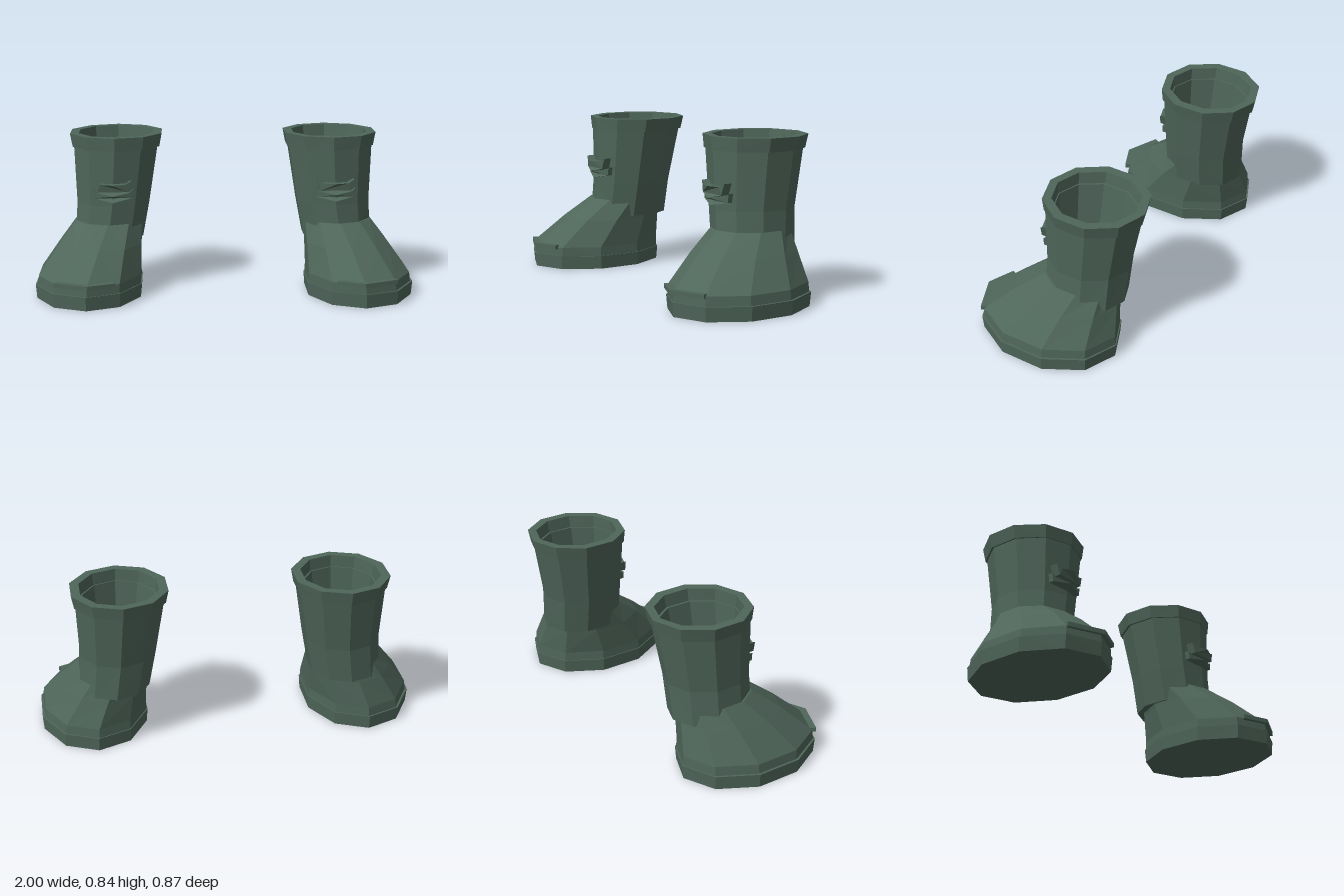
import * as THREE from 'three';

const SIDES = 10;
const material = new THREE.MeshStandardMaterial({ color: 0x4f665a, flatShading: true });

// Skin a stack of ten-sided elliptical rings: [centreX, y, centreZ, radiusX, radiusZ]
function loft(rings) {
  const loops = rings.map(([cx, y, cz, rx, rz]) =>
    Array.from({ length: SIDES }, (_, j) => {
      const a = (j / SIDES) * Math.PI * 2;
      return new THREE.Vector3(cx + Math.sin(a) * rx, y, cz + Math.cos(a) * rz);
    }));
  const pos = [];
  const tri = (a, b, c) => {
    if (new THREE.Triangle(a, b, c).getArea() > 1e-7) {
      for (const p of [a, b, c]) pos.push(p.x, p.y, p.z);
    }
  };
  for (let i = 0; i < loops.length - 1; i++) {
    for (let j = 0; j < SIDES; j++) {
      const k = (j + 1) % SIDES;
      tri(loops[i][j], loops[i][k], loops[i + 1][k]);
      tri(loops[i][j], loops[i + 1][k], loops[i + 1][j]);
    }
  }
  const geo = new THREE.BufferGeometry();
  geo.setAttribute('position', new THREE.Float32BufferAttribute(pos, 3));
  return geo;
}

// Symmetric plate, folded back from its centre line to wrap the shaft
function foldedPlate(half, front, depth) {
  const mirrored = half.slice(1, -1).reverse().map(([x, y]) => [-x, y]);
  const shape = new THREE.Shape([...half, ...mirrored].map(([x, y]) => new THREE.Vector2(x, y)));
  const geo = new THREE.ExtrudeGeometry(shape, { depth, bevelEnabled: false });
  const p = geo.attributes.position;
  for (let i = 0; i < p.count; i++) {
    p.setZ(i, p.getZ(i) + front - depth - Math.abs(p.getX(i)) * 0.36);
  }
  return geo.translate(0.588, 0, 0);
}

// Mirror a geometry across x = 0, keeping its faces outward
function mirrorX(geo) {
  const g = geo.index ? geo.toNonIndexed() : geo.clone();
  const p = g.attributes.position;
  const out = [];
  for (let i = 0; i < p.count; i += 3) {
    for (const j of [i, i + 2, i + 1]) out.push(-p.getX(j), p.getY(j), p.getZ(j));
  }
  const m = new THREE.BufferGeometry();
  m.setAttribute('position', new THREE.Float32BufferAttribute(out, 3));
  return m;
}

function bootParts() {
  // Thin strip that follows the two front faces of the toe
  const strip = new THREE.Shape([
    [0.57, 0.375], [0.71, 0.435], [0.89, 0.355], [0.87, 0.32], [0.71, 0.385], [0.59, 0.335],
  ].map(([x, z]) => new THREE.Vector2(x, -z)));
  const toeStrip = new THREE.ExtrudeGeometry(strip, { depth: 0.023, bevelEnabled: false });
  toeStrip.rotateX(-Math.PI / 2).translate(0, 0.112, 0);

  return {
    sole: loft([
      [0.72, 0, 0.032, 0, 0],
      [0.72, 0, 0.032, 0.288, 0.384],
      [0.72, 0.073, 0.032, 0.294, 0.391],
      [0.72, 0.073, 0.032, 0, 0],
    ]),
    foot: loft([
      [0.717, 0.07, 0.032, 0.285, 0.384],
      [0.715, 0.122, 0.032, 0.281, 0.381],
      [0.662, 0.265, -0.04, 0.228, 0.287],
      [0.617, 0.375, -0.108, 0.186, 0.204],
      [0.617, 0.375, -0.108, 0, 0],
    ]),
    shaft: loft([
      [0.617, 0.285, -0.125, 0, 0],
      [0.617, 0.285, -0.125, 0.191, 0.22],
      [0.593, 0.475, -0.133, 0.203, 0.222],
      [0.576, 0.775, -0.158, 0.234, 0.252],
      [0.576, 0.775, -0.158, 0.190, 0.212],
      [0.585, 0.475, -0.133, 0.162, 0.183],
      [0.585, 0.475, -0.133, 0, 0],
    ]),
    cuff: loft([
      [0.575, 0.77, -0.16, 0.2, 0.22],
      [0.575, 0.77, -0.16, 0.243, 0.26],
      [0.575, 0.84, -0.165, 0.257, 0.27],
      [0.575, 0.84, -0.165, 0.208, 0.226],
      [0.575, 0.77, -0.16, 0.2, 0.22],
    ]),
    upperBuckle: foldedPlate(
      [[0, 0.597], [0.065, 0.597], [0.097, 0.615], [0.08, 0.557], [0, 0.538]], 0.135, 0.065),
    lowerBuckle: foldedPlate(
      [[0, 0.535], [0.085, 0.548], [0.106, 0.565], [0.1, 0.52], [0, 0.5]], 0.117, 0.05),
    toeStrip,
  };
}

export function createModel() {
  const model = new THREE.Group();
  model.name = 'boots';
  for (const side of ['left', 'right']) {
    const boot = new THREE.Group();
    boot.name = side + 'Boot';
    for (const [name, geo] of Object.entries(bootParts())) {
      const g = side === 'left' ? geo : mirrorX(geo);
      g.computeVertexNormals();
      const mesh = new THREE.Mesh(g, material);
      mesh.name = name;
      boot.add(mesh);
    }
    model.add(boot);
  }
  return model;
}
